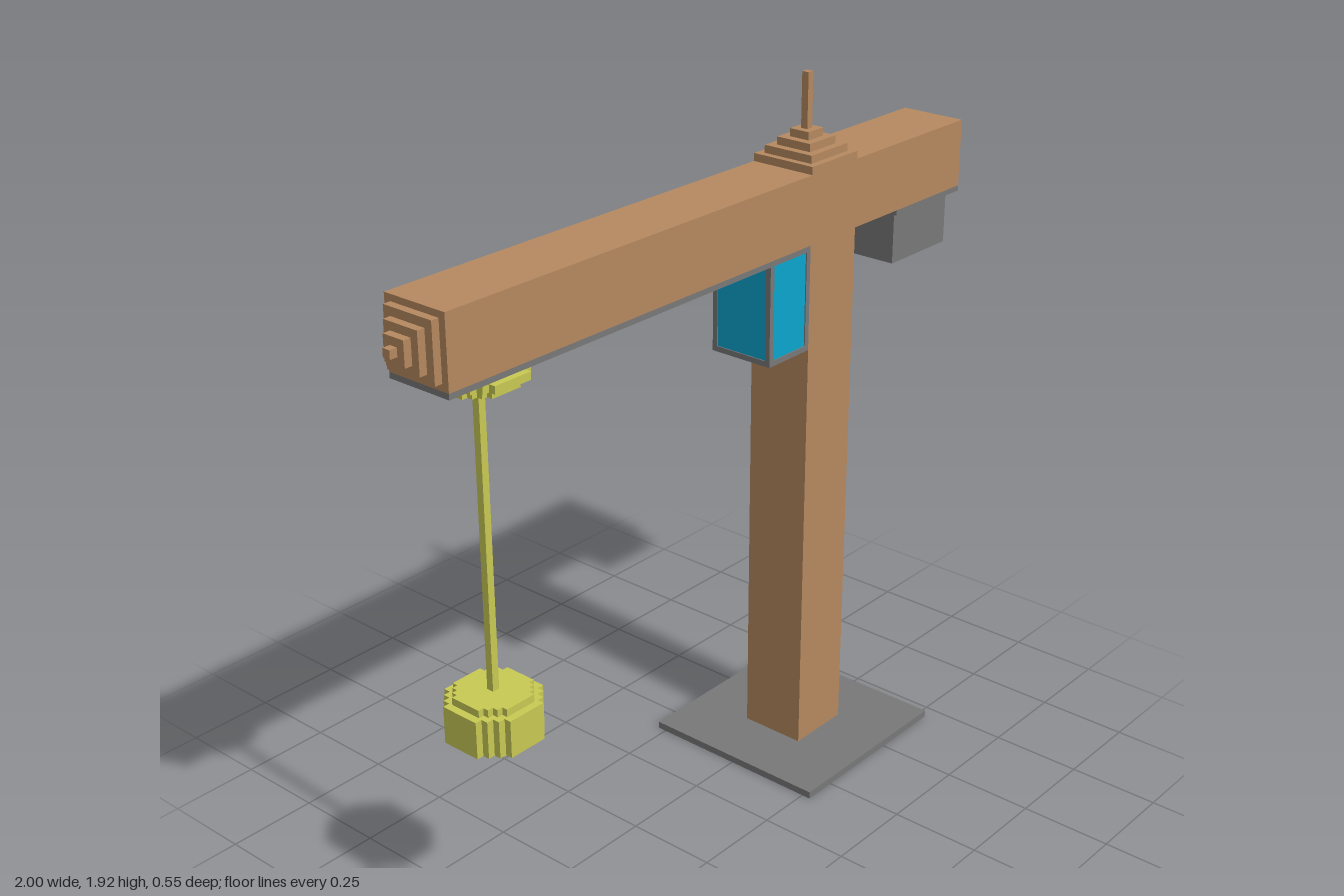
import * as THREE from 'three';

const mat = (name, color) => {
  const m = new THREE.MeshStandardMaterial({ color });
  m.name = name;
  return m;
};

export function createModel() {
  const brown = mat('brown', 0xb5895f);
  const grey = mat('grey', 0x787878);
  const yellow = mat('yellow', 0xc8ca54);
  const blue = mat('blue', 0x0aa5cd);
  const model = new THREE.Group();
  model.name = 'towerCrane';

  // Box given by its limits on each axis
  const box = (name, material, [x0, x1], [y0, y1], [z0, z1], parent = model) => {
    const mesh = new THREE.Mesh(new THREE.BoxGeometry(x1 - x0, y1 - y0, z1 - z0), material);
    mesh.position.set((x0 + x1) / 2, (y0 + y1) / 2, (z0 + z1) / 2);
    mesh.name = name;
    parent.add(mesh);
    return mesh;
  };
  const group = (name) => {
    const g = new THREE.Group();
    g.name = name;
    model.add(g);
    return g;
  };
  const around = (c, r) => [c - r, c + r];

  const W = 0.094; // half width of mast and beam
  const mastX = 0.43;
  const beamY = 1.598;
  const full = [-W, W];

  // Base, mast and beam
  box('basePlate', grey, [0.155, 0.705], [0, 0.02], [-0.275, 0.275]);
  box('mast', brown, around(mastX, W), [0.02, 1.505], full);
  box('beam', brown, [-0.915, 1], [1.505, 1.69], full);

  // Stepped cap with a spike on the mast
  const cap = group('mastCap');
  [W, 0.075, 0.053, 0.03].forEach((r, i) =>
    box('capStep', brown, around(mastX, r), [1.69 + i * 0.021, 1.711 + i * 0.021], around(0, r), cap));
  box('spike', brown, around(mastX, 0.01), [1.774, 1.92], around(0, 0.01), cap);

  // Stepped tip at the end of the jib
  const tip = group('jibTip');
  [0.075, 0.053, 0.032, 0.011].forEach((r, i) =>
    box('tipStep', brown, [-0.936 - i * 0.0213, -0.915 - i * 0.0213], around(beamY, r), around(0, r), tip));

  // Ladder-like trolley track under the jib
  const track = group('trolleyTrack');
  const trackY = [1.49, 1.505];
  const trackEnd = mastX - W;
  for (const s of [-1, 1]) box('rail', grey, [-0.915, trackEnd], trackY, around(s * (W - 0.01), 0.01), track);
  const rungs = 17;
  for (let i = 0; i < rungs; i++) {
    const x = -0.905 + (i / (rungs - 1)) * (trackEnd + 0.895);
    box('rung', grey, around(x, 0.01), trackY, [-W + 0.02, W - 0.02], track);
  }

  // Cab: blue panes set in a grey frame of edge bars
  const cab = group('cab');
  const cx = [0.175, trackEnd], cy = [1.22, 1.49], t = 0.015, inset = 0.003;
  box('cabGlass', blue, [cx[0] + inset, cx[1]], [cy[0] + inset, cy[1]], [-W + inset, W - inset], cab);
  const ends = ([a, b]) => [[a, a + t], [b - t, b]];
  for (const z of ends(full)) {
    for (const x of ends(cx)) box('cabPost', grey, x, cy, z, cab);
    box('cabSill', grey, [cx[0] + t, cx[1] - t], [cy[0], cy[0] + t], z, cab);
  }
  for (const x of ends(cx)) box('cabSideSill', grey, x, [cy[0], cy[0] + t], [-W + t, W - t], cab);

  // Counterweight hanging from its plate
  box('counterweightPlate', grey, [0.71, 1], trackY, full);
  box('counterweight', grey, [0.73, 0.973], [1.345, 1.49], [-0.072, 0.072]);

  // Octagon with stepped diagonals, used for trolley and load
  const steppedDisc = (name, y0, y1, scale, parent) => {
    const r = [0.055, 0.074, 0.093, 0.112].map((v) => v * scale);
    const corner = [[r[3], r[0]], [r[2], r[0]], [r[2], r[1]], [r[1], r[1]], [r[1], r[2]], [r[0], r[2]], [r[0], r[3]]];
    const pts = [];
    for (let q = 0; q < 4; q++) {
      const c = Math.round(Math.cos(q * Math.PI / 2)), s = Math.round(Math.sin(q * Math.PI / 2));
      for (const [x, y] of corner) pts.push(new THREE.Vector2(x * c - y * s, x * s + y * c));
    }
    const geo = new THREE.ExtrudeGeometry(new THREE.Shape(pts), { depth: y1 - y0, bevelEnabled: false });
    geo.rotateX(-Math.PI / 2);
    const mesh = new THREE.Mesh(geo, yellow);
    mesh.position.set(-0.743, y0, 0);
    mesh.name = name;
    parent.add(mesh);
  };

  // Trolley, cable and hanging load
  const hoist = group('hoist');
  steppedDisc('trolleyTop', 1.47, 1.49, 1, hoist);
  steppedDisc('trolleyBottom', 1.45, 1.47, 0.8, hoist);
  box('cable', yellow, around(-0.743, 0.01), [0.66, 1.45], around(0, 0.01), hoist);
  steppedDisc('loadTop', 0.64, 0.66, 0.82, hoist);
  steppedDisc('load', 0.54, 0.64, 1, hoist);

  return model;
}
